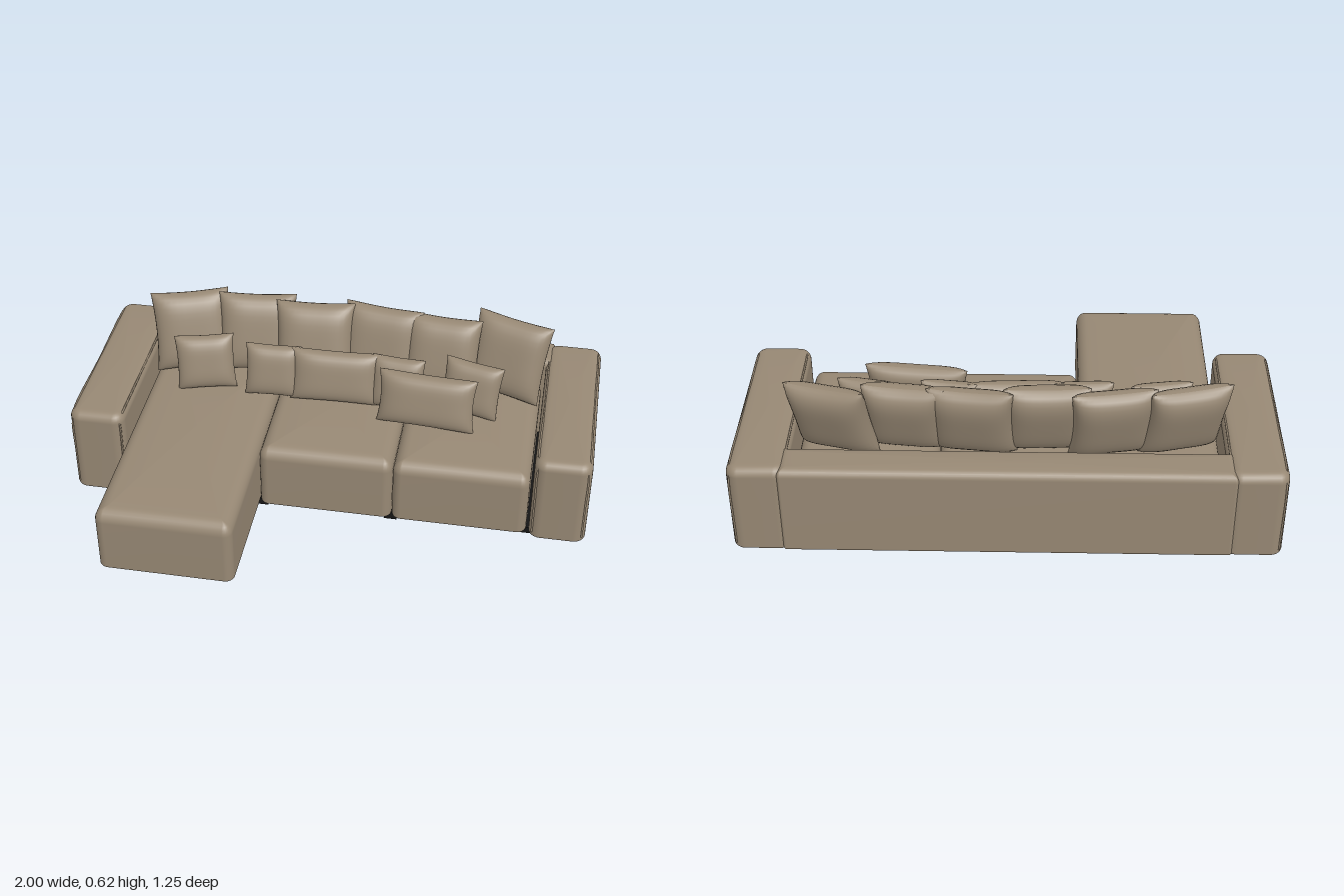
import * as THREE from 'three';
import { mergeGeometries } from 'three/addons/utils/BufferGeometryUtils.js';

const fabric = new THREE.MeshStandardMaterial({ color: 0x978874 });
fabric.name = 'taupe fabric';
const black = new THREE.MeshStandardMaterial({ color: 0x151515 });
black.name = 'black base';

// Upholstered block: rounded-rectangle rings stacked from bottom centre to top centre.
function softBlock([x0, x1], [y0, y1], [z0, z1], { corner, top, bottom = 0.012, crown = 0 }) {
  const hx = (x1 - x0) / 2, hz = (z1 - z0) / 2, cx = (x0 + x1) / 2, cz = (z0 + z1) / 2;
  const rings = []; // [inset, y, scale]
  const steps = 6, edge = y1 - crown;
  for (const s of [0.001, 0.5, 0.95]) rings.push([bottom, y0, s]);
  for (let i = 0; i <= steps; i++) {
    const a = (i / steps) * Math.PI / 2;
    rings.push([bottom * (1 - Math.sin(a)), y0 + bottom * (1 - Math.cos(a)), 1]);
  }
  for (let i = 0; i <= steps; i++) {
    const a = (i / steps) * Math.PI / 2;
    rings.push([top * (1 - Math.cos(a)), edge - top * (1 - Math.sin(a)), 1]);
  }
  for (const s of [0.96, 0.85, 0.65, 0.35, 0.001]) rings.push([top, edge + crown * (1 - s * s), s]);

  const pos = [], index = [], n = 4 * (steps + 1);
  for (const [inset, y, s] of rings) {
    const r = Math.max(corner - inset, 0.003);
    for (let q = 0; q < 4; q++) {
      const sx = q === 0 || q === 3 ? 1 : -1, sz = q < 2 ? 1 : -1;
      for (let i = 0; i <= steps; i++) {
        const a = (q + i / steps) * Math.PI / 2;
        pos.push(cx + s * (sx * (hx - inset - r) + r * Math.cos(a)), y,
          cz + s * (sz * (hz - inset - r) + r * Math.sin(a)));
      }
    }
  }
  for (let j = 0; j < rings.length - 1; j++) {
    for (let i = 0; i < n; i++) {
      const a = j * n + i, b = j * n + (i + 1) % n;
      index.push(a, a + n, b, b, a + n, b + n);
    }
  }
  const g = new THREE.BufferGeometry();
  g.setAttribute('position', new THREE.Float32BufferAttribute(pos, 3));
  g.setIndex(index);
  g.computeVertexNormals();
  return g;
}

// Pillow: two bulged sheets meeting at a sharp seam, with pulled-out corners.
function pillowGeometry(w, h, t) {
  const half = (front) => {
    const g = new THREE.PlaneGeometry(2, 2, 18, 18), p = g.attributes.position;
    for (let i = 0; i < p.count; i++) {
      const u = Math.sin(p.getX(i) * Math.PI / 2), v = Math.sin(p.getY(i) * Math.PI / 2);
      const bulge = Math.sqrt(Math.max(0, (1 - u ** 4) * (1 - v ** 4)));
      p.setXYZ(i, u * w / 2 * (1 - 0.06 * (1 - v * v)), v * h / 2 * (1 - 0.05 * (1 - u * u)), bulge * t / 2);
    }
    if (!front) g.rotateY(Math.PI);
    g.computeVertexNormals();
    return g;
  };
  return mergeGeometries([half(true), half(false)]);
}

export function createModel() {
  const model = new THREE.Group();
  const add = (name, geometry, material = fabric) => {
    const mesh = new THREE.Mesh(geometry, material);
    mesh.name = name;
    model.add(mesh);
    return mesh;
  };
  const box = (name, [x0, x1], [y0, y1], [z0, z1]) => {
    const g = new THREE.BoxGeometry(x1 - x0, y1 - y0, z1 - z0);
    g.translate((x0 + x1) / 2, (y0 + y1) / 2, (z0 + z1) / 2);
    add(name, g, black);
  };

  // Arms with piping along both side edges
  for (const side of [1, -1]) {
    const xs = side > 0 ? [0.785, 1] : [-1, -0.785];
    add(side > 0 ? 'leftArm' : 'rightArm',
      softBlock(xs, [0.028, 0.395], [-0.62, 0.18], { corner: 0.045, top: 0.035, crown: 0.004 }));
    for (const x of [0.987, 0.798]) {
      const inner = x < 0.9 ? 0.005 : -0.005;
      const path = new THREE.CatmullRomCurve3([
        [x, 0.05, 0.167], [x, 0.2, 0.167], [x, 0.345, 0.167], [x + inner, 0.372, 0.158], [x, 0.381, 0.13],
        [x, 0.381, -0.2], [x, 0.381, -0.57], [x + inner, 0.372, -0.598], [x, 0.345, -0.607], [x, 0.05, -0.607],
      ].map(([px, y, z]) => new THREE.Vector3(px * side, y, z)), false, 'centripetal');
      add('armPiping', new THREE.TubeGeometry(path, 60, 0.004, 6));
    }
  }

  // Backrest
  add('backrest', softBlock([-0.815, 0.815], [0.028, 0.395], [-0.625, -0.472],
    { corner: 0.012, top: 0.03, crown: 0.003 }));

  // Seats, the right one extended into a chaise
  const seat = { corner: 0.035, top: 0.05, crown: 0.012 };
  add('chaiseSeat', softBlock([-0.778, -0.263], [0.028, 0.312], [-0.48, 0.622], seat));
  add('middleSeat', softBlock([-0.261, 0.254], [0.028, 0.312], [-0.48, 0.163], seat));
  add('leftSeat', softBlock([0.256, 0.775], [0.028, 0.312], [-0.48, 0.163], seat));

  // Recessed base and low feet
  box('mainBase', [-0.955, 0.955], [0.008, 0.036], [-0.58, 0.13]);
  box('chaiseBase', [-0.735, -0.305], [0.008, 0.036], [0.12, 0.575]);
  for (const x of [-0.93, -0.26, 0.25, 0.93])
    for (const z of [-0.555, 0.105]) box('foot', [x - 0.025, x + 0.025], [0, 0.012], [z - 0.025, z + 0.025]);
  for (const x of [-0.705, -0.335]) box('foot', [x - 0.025, x + 0.025], [0, 0.012], [0.525, 0.575]);

  // Pillows: [x, y, z, width, height, thickness, turn, lean, roll]
  const backPillows = [
    [-0.637, 0.458, -0.365, 0.31, 0.325, 0.12, 0.28, 0.3, 0.03],
    [-0.375, 0.458, -0.392, 0.31, 0.325, 0.12, 0.15, 0.28, -0.02],
    [-0.135, 0.458, -0.367, 0.315, 0.325, 0.13, 0.06, 0.3, 0.01],
    [0.13, 0.458, -0.39, 0.315, 0.32, 0.12, -0.12, 0.28, -0.01],
    [0.375, 0.455, -0.362, 0.3, 0.32, 0.13, -0.1, 0.3, 0.01],
    [0.637, 0.46, -0.385, 0.31, 0.325, 0.12, -0.28, 0.3, -0.04],
  ];
  const frontPillows = [
    [-0.55, 0.412, -0.217, 0.235, 0.225, 0.09, 0.2, 0.27, 0.04],
    [-0.275, 0.41, -0.208, 0.22, 0.215, 0.085, 0.05, 0.25, -0.01],
    [-0.025, 0.408, -0.21, 0.355, 0.215, 0.095, 0.04, 0.25, -0.01],
    [0.22, 0.408, -0.21, 0.21, 0.215, 0.085, -0.1, 0.25, 0.01],
    [0.347, 0.408, -0.112, 0.385, 0.215, 0.1, -0.09, 0.27, 0.01],
    [0.51, 0.412, -0.217, 0.235, 0.22, 0.09, -0.22, 0.27, -0.03],
  ];
  const place = (name) => ([x, y, z, w, h, t, turn, lean, roll]) => {
    const pillow = add(name, pillowGeometry(w, h, t));
    pillow.position.set(x, y, z);
    pillow.rotation.set(-lean, turn, roll, 'YXZ');
  };
  backPillows.forEach(place('backPillow'));
  frontPillows.forEach(place('throwPillow'));

  return model;
}
